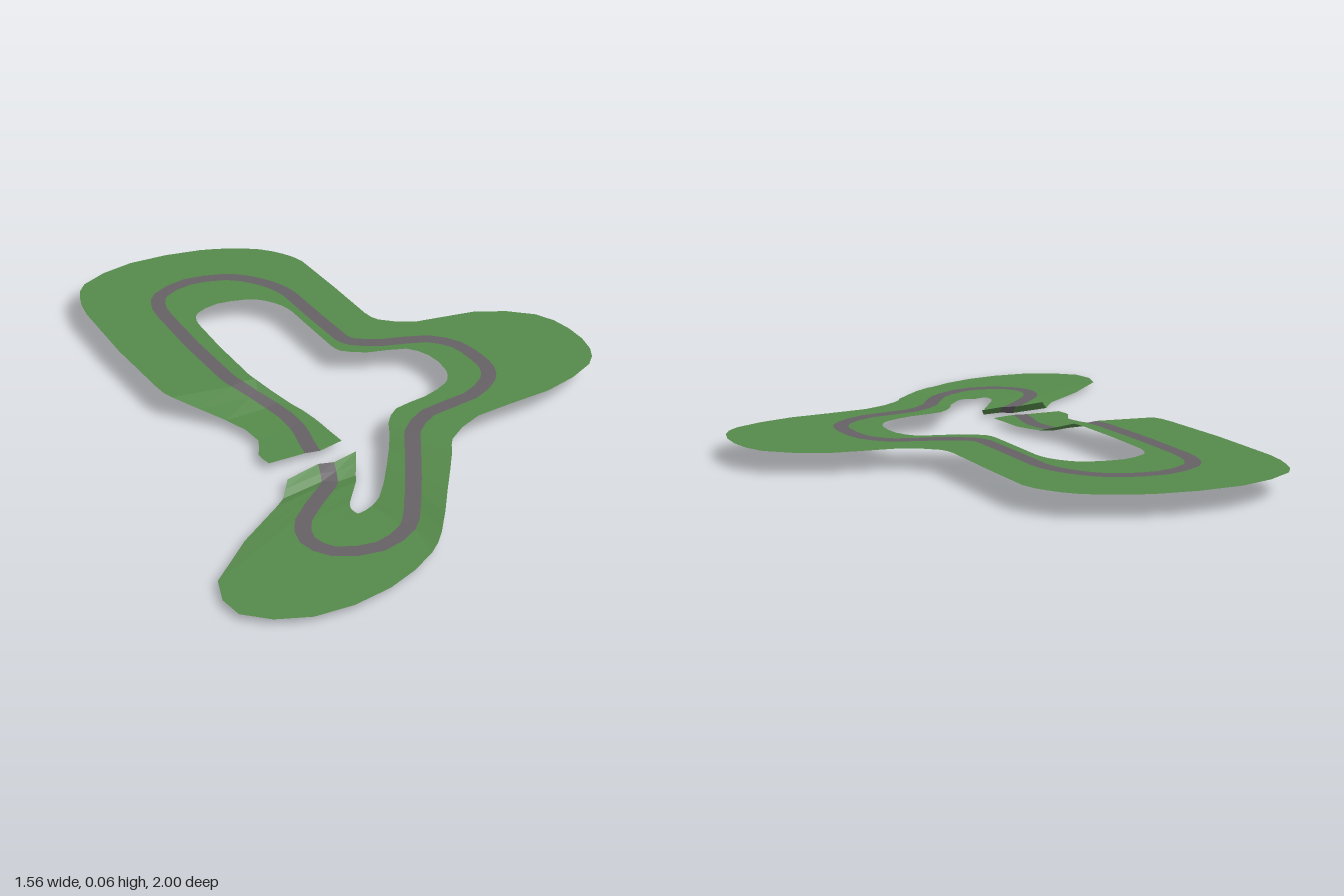
import * as THREE from 'three';

const grass = new THREE.MeshStandardMaterial({ color: 0x55894a, side: THREE.DoubleSide });
grass.name = 'grass green';
const asphalt = new THREE.MeshStandardMaterial({ color: 0x656165, side: THREE.DoubleSide });
asphalt.name = 'asphalt grey';

// Matching x, z control points along the lap, one per station
const OUTER = [-.385, .295, -.39, .24, -.355, .17, -.39, .03, -.5, -.11, -.515, -.18, -.52, -.72, -.495, -.84,
  -.445, -.925, -.25, -1, 0, -.98, .1, -.94, .18, -.89, .235, -.82, .265, -.74, .265, -.31, .28, -.25,
  .38, -.18, .58, -.15, .74, -.04, .778, .09, .76, .23, .7, .31, .5, .385, .24, .41, .105, .485,
  .07, .54, -.03, .68, -.14, .83, -.205, .89, -.38, .975, -.61, .99, -.77, .89, -.755, .735,
  -.46, .49, -.42, .45, -.385, .41];
const ROAD = [-.248, .3, -.235, .23, -.22, .15, -.235, .015, -.295, -.09, -.305, -.15, -.305, -.6, -.29, -.68,
  -.255, -.735, -.14, -.78, -.02, -.755, .03, -.72, .07, -.67, .1, -.61, .115, -.54, .118, -.2, .135, -.16,
  .215, -.11, .35, -.065, .41, .01, .422, .11, .415, .18, .38, .24, .28, .3, .12, .325, .03, .39,
  0, .44, -.08, .58, -.155, .7, -.2, .755, -.31, .8, -.43, .76, -.465, .68, -.43, .59,
  -.3, .475, -.265, .435, -.25, .385];
const INNER = [-.145, .285, -.15, .21, -.155, .13, -.18, .03, -.235, -.09, -.24, -.15, -.235, -.49, -.225, -.53,
  -.205, -.56, -.125, -.59, -.035, -.575, .005, -.555, .035, -.52, .055, -.48, .065, -.43, .065, -.17, .075, -.125,
  .145, -.075, .26, -.04, .3, .03, .3, .12, .285, .165, .255, .2, .16, .24, .05, .26, -.01, .32,
  -.035, .37, -.12, .5, -.2, .6, -.235, .62, -.285, .635, -.29, .618, -.29, .6, -.275, .57,
  -.21, .485, -.185, .44, -.145, .37];
// Ground height as [station, y], linear between
const HEIGHTS = [[0, .02], [2, .02], [3, .025], [4, .063], [6, .065], [25, .06], [26, .057], [27, .042],
  [28, .023], [29, .016], [33, .014], [34, .009], [35, 0], [36, .03]];

const STATIONS = ROAD.length / 2 - 1;
const STEPS = STATIONS * 2;
const HALF_ROAD = 0.023;

function heightAt(s) {
  let k = 1;
  while (k < HEIGHTS.length - 1 && HEIGHTS[k][0] < s) k++;
  const [s0, y0] = HEIGHTS[k - 1], [s1, y1] = HEIGHTS[k];
  return THREE.MathUtils.mapLinear(s, s0, s1, y0, y1);
}

function curveFrom(flat) {
  const points = [];
  for (let i = 0; i < flat.length; i += 2) points.push(new THREE.Vector3(flat[i], 0, flat[i + 1]));
  return new THREE.CatmullRomCurve3(points, false, 'centripetal');
}

// Sample a curve once per step, shifted sideways, and lift it to the ground height
function rail(curve, offset = 0) {
  const points = [];
  for (let i = 0; i <= STEPS; i++) {
    const t = i / STEPS;
    const p = curve.getPoint(t);
    const d = curve.getTangent(t);
    p.x -= d.z * offset;
    p.z += d.x * offset;
    p.y = heightAt(t * STATIONS);
    points.push(p);
  }
  return points;
}

// Faceted strip between two rails, left then right of travel
function strip(name, left, right, material) {
  const corners = [];
  for (let i = 0; i < STEPS; i++) {
    const a = left[i], b = right[i], c = right[i + 1], d = left[i + 1];
    corners.push(a, b, c, a, c, d);
  }
  const geometry = new THREE.BufferGeometry().setFromPoints(corners);
  geometry.computeVertexNormals();
  const mesh = new THREE.Mesh(geometry, material);
  mesh.name = name;
  return mesh;
}

export function createModel() {
  const group = new THREE.Group();
  group.name = 'raceTrack';
  const centre = curveFrom(ROAD);
  const outer = rail(curveFrom(OUTER));
  const inner = rail(curveFrom(INNER));
  const roadLeft = rail(centre, -HALF_ROAD);
  const roadRight = rail(centre, HALF_ROAD);
  group.add(
    strip('outerVerge', outer, roadLeft, grass),
    strip('road', roadLeft, roadRight, asphalt),
    strip('innerVerge', roadRight, inner, grass),
  );
  return group;
}
